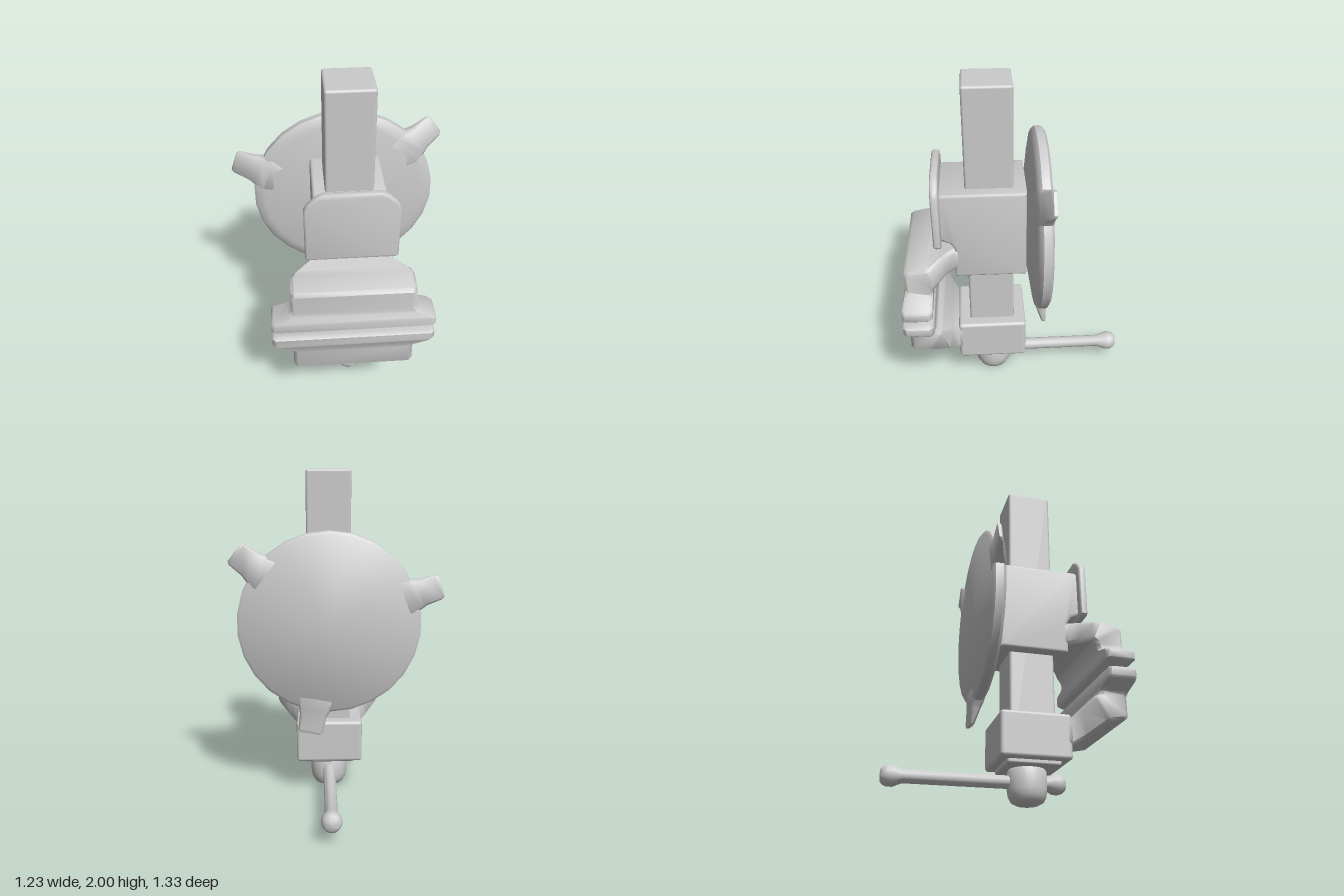
import * as THREE from 'three';
import { toCreasedNormals } from 'three/addons/utils/BufferGeometryUtils.js';
import { RoundedBoxGeometry } from 'three/addons/geometries/RoundedBoxGeometry.js';

const material = new THREE.MeshStandardMaterial({ color: 0xcccccc });

// Rounded block from its limits
function block(w, [y0, y1], [z0, z1], r = 0.02) {
  const g = new RoundedBoxGeometry(2 * w, y1 - y0, z1 - z0, 3, r);
  return g.translate(0, (y0 + y1) / 2, (z0 + z1) / 2);
}

// Chamfered rectangular sections joined in a loft.
// Each section: [outer z, outer y, inner z, inner y, half width]
function loft(sections, bevel = 0.02) {
  const pos = [], index = [], n = 8;
  for (const [oz, oy, iz, iy, w] of sections) {
    const len = Math.hypot(iz - oz, iy - oy);
    const b = Math.min(bevel, len * 0.3, w * 0.3);
    const t = b / len;
    const ring = [[w - b, 0], [w, t], [w, 1 - t], [w - b, 1], [b - w, 1], [-w, 1 - t], [-w, t], [b - w, 0]];
    for (const [x, k] of ring) pos.push(x, oy + (iy - oy) * k, oz + (iz - oz) * k);
  }
  for (let s = 0; s < sections.length - 1; s++) {
    for (let i = 0; i < n; i++) {
      const a = s * n + i, b = s * n + (i + 1) % n;
      index.push(a, b, b + n, a, b + n, a + n);
    }
  }
  const last = (sections.length - 1) * n;
  for (let i = 1; i < n - 1; i++) {
    index.push(0, i + 1, i, last, last + i, last + i + 1);
  }
  // Turn the faces outwards if the enclosed volume is negative
  const p = (i) => new THREE.Vector3(pos[3 * i], pos[3 * i + 1], pos[3 * i + 2]);
  let volume = 0;
  for (let i = 0; i < index.length; i += 3) {
    volume += p(index[i]).dot(p(index[i + 1]).cross(p(index[i + 2])));
  }
  if (volume < 0) index.reverse();
  const g = new THREE.BufferGeometry();
  g.setAttribute('position', new THREE.Float32BufferAttribute(pos, 3));
  g.setIndex(index);
  return toCreasedNormals(g, 0.82);
}

// Turned part from [radius, height] points
function lathe(points, segments, crease = 0.85) {
  const g = new THREE.LatheGeometry(points.map(([r, y]) => new THREE.Vector2(r, y)), segments);
  return toCreasedNormals(g, crease);
}

// Bevelled extrusion; the outline is drawn at full size
function plate(points, depth, bevel) {
  const shape = new THREE.Shape(points.map(([x, y]) => new THREE.Vector2(x, y)));
  const g = new THREE.ExtrudeGeometry(shape, {
    depth: depth - 2 * bevel, bevelThickness: bevel, bevelSize: bevel, bevelOffset: -bevel, bevelSegments: 3,
  });
  return toCreasedNormals(g.translate(0, 0, bevel), 0.7);
}

export function createModel() {
  const model = new THREE.Group();
  model.name = 'benchVise';
  const vise = new THREE.Group();
  vise.name = 'viseAssembly';
  vise.position.x = 0.038;
  model.add(vise);
  const add = (name, geometry, parent = vise) => {
    const mesh = new THREE.Mesh(geometry, material);
    mesh.name = name;
    parent.add(mesh);
    return mesh;
  };

  // Sliding bar through both bodies
  add('slideBar', block(0.132, [0.25, 2], [0.02, 0.29], 0.015));

  // Fixed body with the neck that carries the anvil
  const bodyOutline = [
    [-0.05, 0.865], [0.362, 0.865], [0.362, 1.06], [0.385, 1.095], [0.42, 1.11],
    [0.45, 1.13], [0.45, 1.39], [0.42, 1.413], [-0.05, 1.413],
  ];
  const body = plate(bodyOutline, 0.404, 0.018);
  add('fixedBody', body.translate(0, 0, -0.202).rotateY(-Math.PI / 2));

  // Anvil plate with clipped top corners
  const anvilOutline = [
    [-0.24, 1.095], [0.24, 1.095], [0.254, 1.11], [0.254, 1.42], [0.235, 1.455], [0.19, 1.497],
    [0.15, 1.515], [-0.15, 1.515], [-0.19, 1.497], [-0.235, 1.455], [-0.254, 1.42], [-0.254, 1.11],
  ];
  add('anvil', plate(anvilOutline, 0.045, 0.014).translate(0, 0, 0.43));

  // Fixed jaw: arm curving out of the body down to the wide gripping edge
  add('fixedJaw', loft([
    [0.3, 1.06, 0.3, 0.91, 0.195],
    [0.36, 1.06, 0.36, 0.918, 0.205],
    [0.42, 1.05, 0.41, 0.915, 0.25],
    [0.485, 1.032, 0.455, 0.905, 0.325],
    [0.52, 1.025, 0.465, 0.9, 0.34],
    [0.625, 1.003, 0.48, 0.88, 0.34],
    [0.645, 0.985, 0.485, 0.87, 0.34],
    [0.645, 0.875, 0.49, 0.845, 0.34],
    [0.65, 0.85, 0.492, 0.83, 0.36],
    [0.663, 0.81, 0.493, 0.81, 0.44],
    [0.666, 0.795, 0.493, 0.795, 0.453],
    [0.666, 0.752, 0.495, 0.752, 0.453],
    [0.65, 0.738, 0.51, 0.738, 0.438],
  ]));

  // Moving body and its jaw
  add('movingBody', block(0.202, [0.225, 0.487], [-0.05, 0.362]));
  add('movingJaw', loft([
    [0.3, 0.295, 0.3, 0.43, 0.195],
    [0.36, 0.305, 0.36, 0.465, 0.205],
    [0.42, 0.335, 0.4, 0.505, 0.25],
    [0.52, 0.405, 0.45, 0.555, 0.33],
    [0.545, 0.418, 0.46, 0.562, 0.34],
    [0.63, 0.435, 0.485, 0.575, 0.34],
    [0.645, 0.45, 0.488, 0.58, 0.34],
    [0.645, 0.57, 0.49, 0.595, 0.34],
    [0.65, 0.59, 0.492, 0.61, 0.36],
    [0.663, 0.63, 0.493, 0.63, 0.44],
    [0.666, 0.645, 0.493, 0.645, 0.453],
    [0.666, 0.688, 0.495, 0.688, 0.453],
    [0.65, 0.702, 0.51, 0.702, 0.438],
  ]));

  // Screw end below the moving body
  add('screwCollar', block(0.155, [0.2, 0.26], [0, 0.31], 0.012));
  const head = lathe([[0, 0], [0.06, 0.004], [0.092, 0.02], [0.108, 0.05], [0.113, 0.085],
    [0.113, 0.185], [0.104, 0.2], [0, 0.2]], 28);
  add('screwHead', head.translate(0, 0, 0.15));

  // Turning handle with a knob at each end
  const handle = lathe([
    [0, -0.667], [0.032, -0.664], [0.05, -0.65], [0.059, -0.625], [0.058, -0.595], [0.037, -0.545],
    [0.037, 0.262], [0.056, 0.295], [0.059, 0.325], [0.05, 0.353], [0.032, 0.371], [0, 0.375],
  ], 20);
  add('handle', handle.rotateX(Math.PI / 2).translate(0, 0.128, 0));

  // Swivel base disc with three mounting lugs
  const base = new THREE.Group();
  base.name = 'swivelBase';
  base.position.y = 1.13;
  vise.add(base);
  const disc = lathe([
    [0, -0.168], [0.515, -0.171], [0.533, -0.158], [0.535, -0.115], [0.515, -0.096],
    [0.47, -0.087], [0.27, -0.055], [0, -0.055],
  ], 26);
  add('baseDisc', disc.rotateX(Math.PI / 2), base);
  for (const angle of [38, 161, 280]) {
    const lug = add('mountingLug', loft([
      [-0.06, 0.25, -0.165, 0.25, 0.05],
      [-0.086, 0.47, -0.171, 0.47, 0.11],
      [-0.1, 0.535, -0.172, 0.535, 0.09],
      [-0.112, 0.565, -0.172, 0.565, 0.08],
      [-0.145, 0.66, -0.173, 0.66, 0.073],
      [-0.155, 0.676, -0.171, 0.676, 0.06],
    ], 0.015), base);
    lug.rotation.z = THREE.MathUtils.degToRad(angle - 90);
  }
  return model;
}
